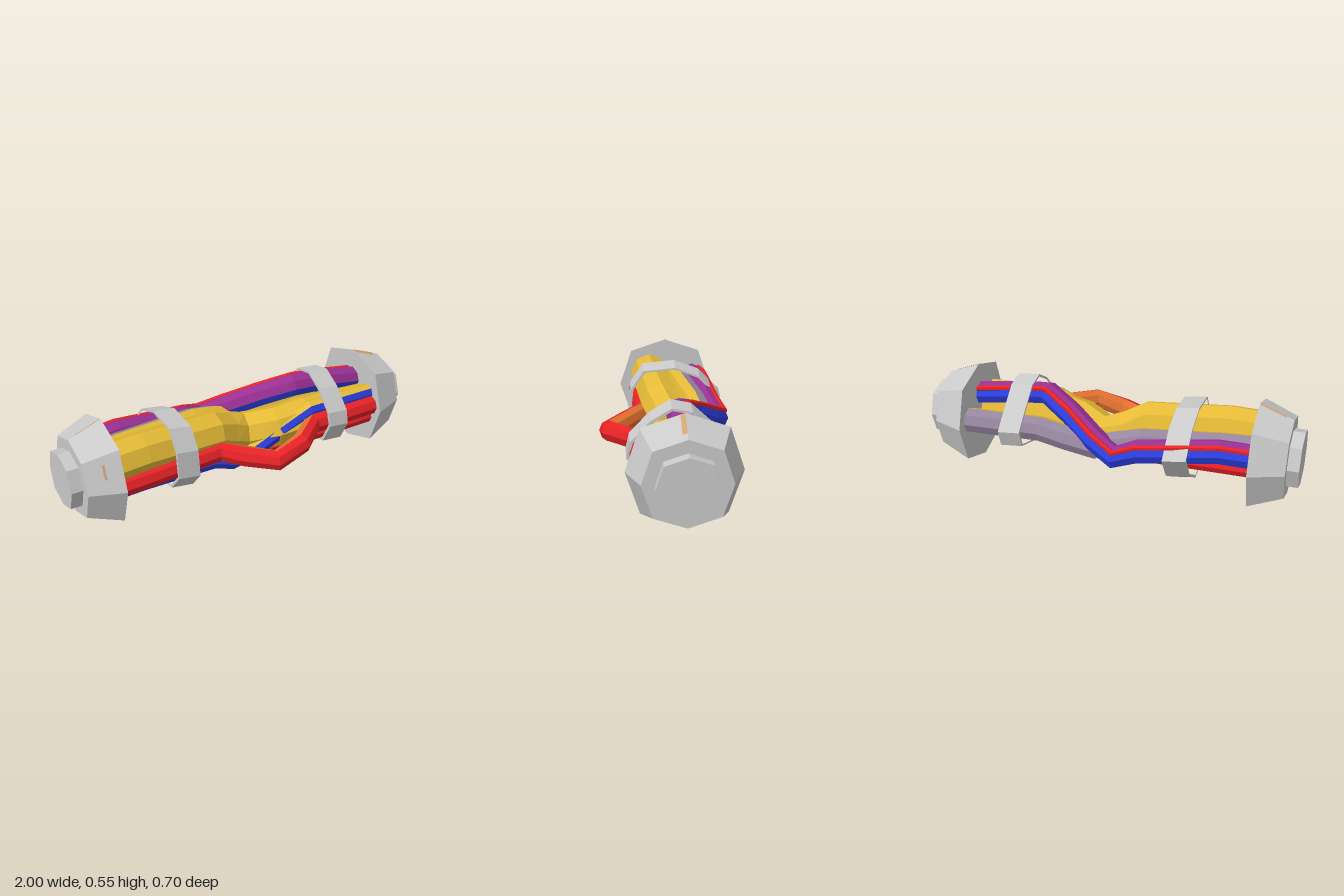
import * as THREE from 'three';

const mat = (name, color) => {
  const m = new THREE.MeshStandardMaterial({ color, flatShading: true });
  m.name = name;
  return m;
};

// Faceted cable along a path; faces[k] picks the material of side k (0 = top, turning towards +z).
function cable(name, points, r, materials, faces = [0, 0, 0, 0, 0, 0, 0, 0]) {
  const path = points.map(p => new THREE.Vector3(...p));
  const n = faces.length;
  const rings = path.map((p, i) => {
    const before = path[Math.max(i - 1, 0)], after = path[Math.min(i + 1, path.length - 1)];
    const t = after.clone().sub(before).normalize();
    const up = new THREE.Vector3(0, 1, 0).addScaledVector(t, -t.y).normalize();
    const side = t.clone().cross(up);
    return faces.map((_, k) => {
      const a = k / n * Math.PI * 2;
      return p.clone().addScaledVector(up, r * Math.cos(a)).addScaledVector(side, r * Math.sin(a));
    });
  });
  const verts = [], geo = new THREE.BufferGeometry();
  materials.forEach((_, m) => {
    const start = verts.length;
    faces.forEach((f, k) => {
      if (f !== m) return;
      const j = (k + 1) % n;
      for (let i = 0; i < rings.length - 1; i++) {
        const a = rings[i][k], b = rings[i + 1][k], c = rings[i][j], d = rings[i + 1][j];
        verts.push(a, c, b, b, c, d);
      }
    });
    geo.addGroup(start, verts.length - start, m);
  });
  geo.setFromPoints(verts);
  geo.computeVertexNormals();
  const mesh = new THREE.Mesh(geo, materials);
  mesh.name = name;
  return mesh;
}

// Eight-sided block along x with its diagonal corners pushed out a little.
function octagon(name, rOuter, rInner, x0, x1, material) {
  const geo = new THREE.CylinderGeometry(rOuter, rInner, x1 - x0, 8).rotateZ(-Math.PI / 2);
  const p = geo.attributes.position;
  for (let i = 0; i < p.count; i++) {
    const y = p.getY(i), z = p.getZ(i);
    if (Math.abs(y) > 0.01 && Math.abs(z) > 0.01) p.setXYZ(i, p.getX(i), y * 1.06, z * 1.06);
  }
  geo.computeVertexNormals();
  const mesh = new THREE.Mesh(geo, material);
  mesh.position.x = (x0 + x1) / 2;
  mesh.name = name;
  return mesh;
}

// Thin painted patch lying on the top bevel of a cap, between z = w0 and w1.
function bevelMark(x0, x1, w0, w1, material) {
  const at = (x, w) => new THREE.Vector3(x, 0.2745 - 0.383 * (x - 0.765) - 0.333 * w, w);
  const a = at(x0, w0), b = at(x0, w1), c = at(x1, w0), d = at(x1, w1);
  const geo = new THREE.BufferGeometry().setFromPoints([a, b, c, c, b, d]);
  geo.computeVertexNormals();
  const mesh = new THREE.Mesh(geo, material);
  mesh.name = 'capMark';
  return mesh;
}

// Thin slanted band wrapped around the bundle; outline points are [z, y].
function clamp(name, x, slant, outline, material) {
  const cz = -0.06, cy = 0.3;
  const pts = outline.map(([z, y]) => new THREE.Vector2(z - cz, y - cy));
  const shape = new THREE.Shape(pts);
  shape.holes.push(new THREE.Path(pts.map(p => p.clone().multiplyScalar(0.94))));
  const geo = new THREE.ExtrudeGeometry(shape, { depth: 0.12, bevelEnabled: false });
  geo.translate(0, 0, -0.06).rotateY(-Math.PI / 2);
  geo.applyMatrix4(new THREE.Matrix4().makeShear(slant, 0, 0, 0, 0, 0));
  const mesh = new THREE.Mesh(geo, material);
  mesh.position.set(x, cy, cz);
  mesh.name = name;
  return mesh;
}

export function createModel() {
  const model = new THREE.Group();
  model.name = 'cableBundle';
  const grey = mat('grey', 0xcacaca), yellow = mat('yellow', 0xe4ba36), red = mat('red', 0xf02428);
  const blue = mat('blue', 0x2c40e4), purple = mat('purple', 0x983092), mauve = mat('mauve', 0x96869f);
  const orange = mat('orange', 0xe07030), tan = mat('tan', 0xd2a274);
  tan.side = THREE.DoubleSide;

  // End caps with a nub and small marks on the bevel
  for (const side of [1, -1]) {
    const cap = new THREE.Group();
    cap.name = side > 0 ? 'leftEndCap' : 'rightEndCap';
    cap.add(octagon('capBody', 0.206, 0.273, 0.765, 0.94, grey));
    cap.add(octagon('capNub', 0.145, 0.145, 0.93, 1, grey));
    cap.add(bevelMark(0.77, 0.9, 0, side > 0 ? 0.022 : 0.012, tan));
    if (side < 0) {
      const frontMark = bevelMark(0.842, 0.854, 0.07, 0.14, tan);
      frontMark.rotation.x = -Math.PI / 2;
      cap.add(frontMark);
      cap.rotation.y = Math.PI;
    }
    cap.position.set(0, 0.275, -0.045);
    model.add(cap);
  }

  // Thick core cable
  model.add(cable('coreCable', [
    [-0.8, 0.345, 0.05], [-0.61, 0.352, 0.045], [-0.18, 0.325, 0.01], [-0.09, 0.275, -0.02],
    [0.04, 0.234, -0.045], [0.2, 0.265, 0.035], [0.36, 0.288, 0.055], [0.8, 0.26, 0.05],
  ], 0.112, [yellow]));

  // Front cable, red outside and orange inside, with the forward loop
  model.add(cable('frontCable', [
    [-0.8, 0.245, 0.12], [-0.61, 0.252, 0.12], [-0.2, 0.265, 0.107], [-0.09, 0.25, 0.2],
    [0.04, 0.235, 0.298], [0.2, 0.28, 0.28], [0.36, 0.288, 0.152], [0.8, 0.286, 0.14],
  ], 0.055, [red, orange], [0, 0, 0, 0, 1, 1, 1, 1]));

  // Lower red cable, passing from the back to the front
  model.add(cable('lowerCable', [
    [-0.8, 0.182, -0.07], [-0.2, 0.172, -0.065], [-0.09, 0.14, -0.055], [0.04, 0.112, -0.03],
    [0.2, 0.168, 0.055], [0.36, 0.21, 0.118], [0.8, 0.21, 0.112],
  ], 0.045, [red]));

  // Slim cable climbing from the bottom to the upper front, blue with a yellow back
  model.add(cable('climbingCable', [
    [-0.8, 0.182, 0.055], [-0.61, 0.192, 0.06], [-0.2, 0.18, 0.05], [-0.09, 0.138, 0.05],
    [0.04, 0.17, 0.055], [0.2, 0.28, 0.1], [0.36, 0.355, 0.108], [0.8, 0.35, 0.103],
  ], 0.046, [yellow, blue], [0, 1, 1, 1, 1, 0, 0, 0]));

  // Rear crossing cable, purple above and blue below, with a red stripe
  const crossing = [
    [-0.8, 0.33, -0.205], [-0.61, 0.34, -0.225], [-0.2, 0.29, -0.26], [-0.09, 0.255, -0.29],
    [0.04, 0.305, -0.23], [0.2, 0.378, -0.13], [0.36, 0.435, -0.045], [0.48, 0.425, -0.045], [0.8, 0.375, -0.04],
  ];
  model.add(cable('crossingCable', crossing, 0.063, [purple, blue], [0, 0, 1, 1, 1, 1, 1, 0]));
  model.add(cable('crossingStripe', crossing.map(([x, y, z]) => [x, y + 0.041, z - 0.042]),
    0.015, [red], [0, 0, 0, 0, 0, 0]));

  // Rear cable, yellow in front and mauve behind
  model.add(cable('rearCable', [
    [-0.8, 0.325, -0.105], [-0.61, 0.325, -0.125], [-0.2, 0.31, -0.18], [-0.09, 0.285, -0.195],
    [0.04, 0.25, -0.205], [0.2, 0.265, -0.19], [0.36, 0.285, -0.175], [0.8, 0.285, -0.2],
  ], 0.068, [yellow, mauve], [0, 0, 0, 0, 1, 1, 1, 1]));

  // Clamps
  model.add(clamp('rightClamp', -0.41, -0.15, [
    [-0.34, 0.31], [-0.22, 0.43], [-0.08, 0.482], [0.1, 0.465], [0.172, 0.36],
    [0.187, 0.22], [0.1, 0.12], [-0.1, 0.09], [-0.25, 0.18],
  ], grey));
  model.add(clamp('leftClamp', 0.49, -0.1, [
    [-0.3, 0.3], [-0.22, 0.38], [-0.1, 0.49], [0, 0.51], [0.1, 0.45],
    [0.2, 0.345], [0.217, 0.27], [0.16, 0.155], [0.04, 0.137], [-0.1, 0.16], [-0.27, 0.21],
  ], grey));
  return model;
}
